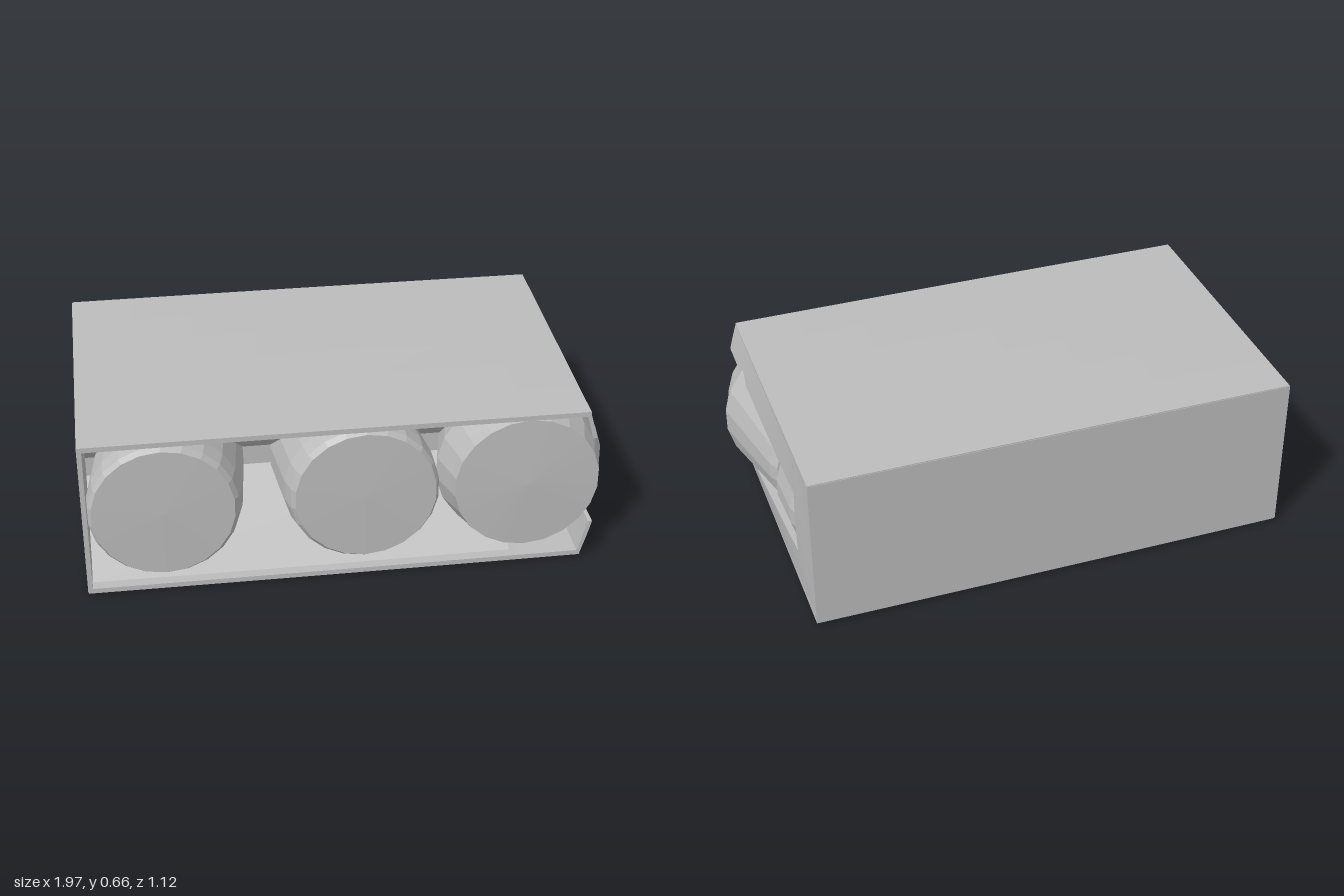
import * as THREE from 'three';

export function createModel() {
  const group = new THREE.Group();
  const grey = new THREE.MeshStandardMaterial({ color: 0xbcbcbc, flatShading: true });

  function add(name, geometry) {
    const mesh = new THREE.Mesh(geometry, grey);
    mesh.name = name;
    group.add(mesh);
    return mesh;
  }

  // Moves every vertex of a geometry by a rule
  function warp(geometry, rule) {
    const p = geometry.attributes.position;
    const v = new THREE.Vector3();
    for (let i = 0; i < p.count; i++) {
      rule(v.fromBufferAttribute(p, i));
      p.setXYZ(i, v.x, v.y, v.z);
    }
    geometry.computeVertexNormals();
    return geometry;
  }

  function panel(name, x0, x1, y0, y1, z0, z1) {
    const g = new THREE.BoxGeometry(x1 - x0, y1 - y0, z1 - z0);
    add(name, g.translate((x0 + x1) / 2, (y0 + y1) / 2, (z0 + z1) / 2));
  }

  // Carton lid and floor, swelling slightly in the middle
  for (const [name, y, dir] of [['topPanel', 0.638, 1], ['bottomPanel', 0.022, -1]]) {
    const g = new THREE.BoxGeometry(1.865, 0.02, 1.12, 8, 1, 6).translate(-0.055, y, 0);
    add(name, warp(g, v => {
      const s = Math.cos((v.x + 0.055) * 1.68) * Math.cos(v.z * 2.6);
      v.y += dir * 0.012 * s;
    }));
  }
  panel('leftEndPanel', -0.99, -0.972, 0.015, 0.645, -0.56, 0.56);
  panel('backPanel', -0.985, 0.878, 0.015, 0.645, -0.562, -0.54);

  // Bulging end panel, made of strips around a notch that opens to the front
  function endStrip(name, z0, z1, low, high) {
    const g = new THREE.BoxGeometry(0.016, 1, z1 - z0, 1, 5, 8).translate(0.868, 0.5, (z0 + z1) / 2);
    add(name, warp(g, v => {
      const t = (v.z + 0.56) / 1.12;
      v.y = THREE.MathUtils.lerp(low(v.z), high(v.z), v.y);
      v.x += 0.06 * t * Math.sin(Math.PI * THREE.MathUtils.clamp((v.y - 0.015) / 0.63, 0, 1));
    }));
  }
  const notchLow = z => 0.185 - 0.04 * z;
  const notchHigh = z => 0.495 + 0.07 * z;
  endStrip('endPanelRear', -0.56, -0.355, () => 0.015, () => 0.645);
  endStrip('endPanelUpper', -0.355, 0.56, notchHigh, () => 0.645);
  endStrip('endPanelLower', -0.355, 0.56, () => 0.015, notchLow);

  // Inner filling with a V-shaped hollow between the cans
  const section = new THREE.Shape([
    [-0.54, 0.03], [0.52, 0.03], [0.2, 0.3], [0.2, 0.38], [0.48, 0.63], [-0.54, 0.63],
  ].map(([z, y]) => new THREE.Vector2(z, y)));
  const filling = new THREE.ExtrudeGeometry(section, { depth: 1.58, bevelEnabled: false });
  add('innerFilling', filling.rotateY(-Math.PI / 2).translate(0.61, 0, 0));

  // Cans lie along z; profiles run from the back end to the front end as [radius, z]
  function can(name, x, y, profile, lean) {
    const pts = profile.map(([r, z]) => new THREE.Vector2(r, z));
    const g = new THREE.LatheGeometry(pts, 22).rotateX(Math.PI / 2);
    add(name, warp(g, v => {
      v.x += x + lean * (0.53 - v.z);
      v.y += y;
    }));
  }
  const plain = [[0, 0], [0.27, 0], [0.285, 0.08], [0.29, 0.45], [0.28, 0.51], [0.265, 0.53], [0, 0.535]];
  can('leftCan', -0.695, 0.325, plain, 0.12);
  can('middleCan', 0.055, 0.335, plain, -0.12);

  // End row: a dented front can with a second can behind it
  can('rightCan', 0.665, 0.33, [
    [0, -0.06], [0.215, -0.05], [0.235, -0.01], [0.275, 0.17], [0.32, 0.37],
    [0.285, 0.48], [0.275, 0.52], [0, 0.53],
  ], 0);
  can('rearRightCan', 0.65, 0.33, [
    [0, -0.36], [0.23, -0.35], [0.245, -0.3], [0.25, -0.12], [0.235, -0.08], [0.215, -0.05], [0, -0.05],
  ], 0);

  return group;
}
